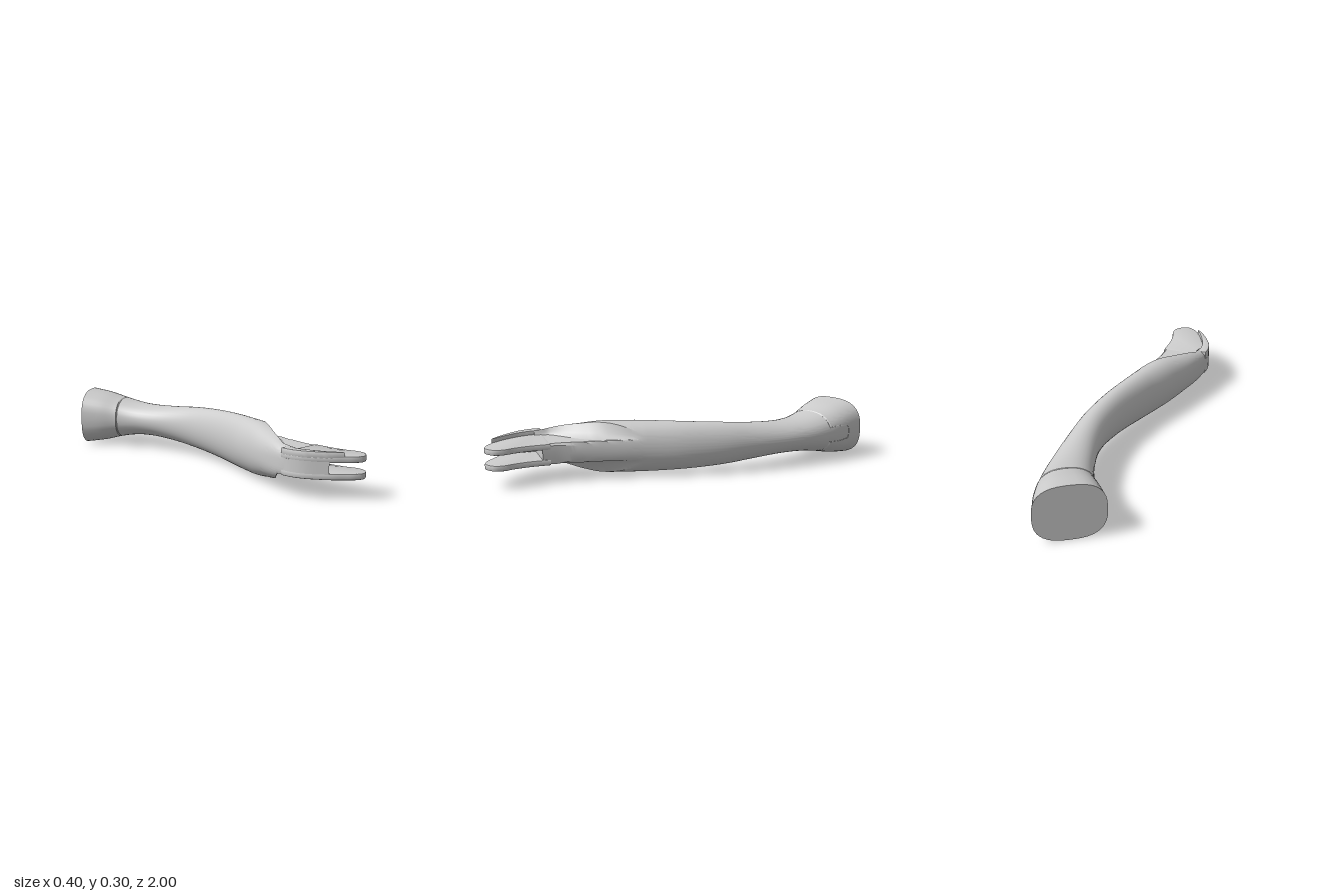
import * as THREE from 'three';
import { toCreasedNormals } from 'three/addons/utils/BufferGeometryUtils.js';

const MID = 0.15; // height of the centre line
const FLAT = 0.0535; // half thickness of the flattened fork end

// Stations: left x, left z, right x, right z, half height, roundness exponent
const STATIONS = [
  [-0.195, -0.815, 0.100, -1.000, 0.148, 2.7],
  [-0.135, -0.735, 0.138, -0.895, 0.132, 2.5],
  [-0.075, -0.660, 0.165, -0.795, 0.108, 2.3],
  [-0.030, -0.570, 0.187, -0.660, 0.089, 2.1],
  [0.000, -0.480, 0.197, -0.530, 0.086, 2],
  [0.030, -0.350, 0.200, -0.370, 0.095, 2],
  [0.040, -0.200, 0.195, -0.200, 0.110, 2],
  [0.010, 0.000, 0.165, 0.000, 0.124, 2],
  [-0.055, 0.200, 0.118, 0.200, 0.133, 2],
  [-0.095, 0.300, 0.097, 0.300, 0.134, 2],
  [-0.130, 0.400, 0.076, 0.400, 0.132, 2.1],
  [-0.163, 0.500, 0.058, 0.500, 0.119, 2.3],
  [-0.190, 0.600, 0.045, 0.600, 0.104, 2.8],
  [-0.203, 0.670, 0.041, 0.670, 0.086, 3.5],
  [-0.204, 0.720, 0.040, 0.720, 0.079, 4],
];
const curve = (a, b, c) => new THREE.CatmullRomCurve3(
  STATIONS.map((s) => new THREE.Vector3(s[a], s[b], s[c])));
const leftCurve = curve(0, 1, 4), rightCurve = curve(2, 3, 5);
const LAST = STATIONS.length - 1, SEAM = 2;

// Edge of the scooped faces: z, x on top, x underneath
const SCOOP = [
  [0.22, 0.100, 0.100], [0.3, 0.055, 0.055], [0.4, -0.005, -0.005],
  [0.5, -0.070, -0.075], [0.6, -0.130, -0.150], [0.65, -0.155, -0.196], [0.75, -0.160, -0.200],
];
function scoopEdge(z, col) {
  for (let i = 1; i < SCOOP.length; i++) {
    const a = SCOOP[i - 1], b = SCOOP[i];
    if (z <= b[0]) return THREE.MathUtils.mapLinear(z, a[0], b[0], a[col], b[col]);
  }
  return SCOOP[SCOOP.length - 1][col];
}

const station = (s) => ({ L: leftCurve.getPoint(s / LAST), R: rightCurve.getPoint(s / LAST) });
// Point on a section: u runs -1 (left) to 1 (right), y is the offset from the centre line
const place = ({ L, R }, u, y) => new THREE.Vector3(
  THREE.MathUtils.lerp(L.x, R.x, (u + 1) / 2), MID + y, THREE.MathUtils.lerp(L.y, R.y, (u + 1) / 2));
const height = ({ L, R }, u) => L.z * Math.pow(Math.max(0, 1 - Math.abs(u) ** R.z), 1 / R.z);

// Upper (side 1) or lower (side -1) half of a section, from left to right
function halfSection(st, side) {
  const { L, R } = st, n = R.z, half = (R.x - L.x) / 2, z = R.y;
  const scooped = z >= 0.22;
  const toAngle = (u) => Math.acos(Math.sign(u) * Math.abs(u) ** (n / 2));
  const toU = (a) => Math.sign(Math.cos(a)) * Math.abs(Math.cos(a)) ** (2 / n);
  const e = scooped
    ? THREE.MathUtils.clamp((scoopEdge(z, side > 0 ? 1 : 2) - L.x) / half - 1, -0.96, 0.9) : 0.83;
  const width = THREE.MathUtils.lerp(0.075, 0.012, THREE.MathUtils.smoothstep(z, 0.5, 0.68));
  const w = Math.min(width / half, (1 - e) * 0.7);
  const us = [];
  for (let i = 0; i < 14; i++) us.push(i === 0 ? -1 : toU(THREE.MathUtils.lerp(Math.PI, toAngle(e), i / 14)));
  for (let i = 0; i < 4; i++) us.push(e + w * i / 4);
  for (let i = 0; i <= 6; i++) us.push(i === 6 ? 1 : toU(toAngle(e + w) * (1 - i / 6)));
  const edgeH = Math.max(height(st, e), FLAT);
  return us.map((u) => {
    let y = height(st, u);
    if (scooped && u > e) {
      const k = Math.min(1, (u - e) / w);
      y = Math.min(y, FLAT + (edgeH - FLAT) * (1 - k) ** 1.5);
    }
    return place(st, u, side * y);
  });
}

// Curved grip lofted through the stations, with a shallow groove at the collar
function gripGeometry() {
  const rows = [];
  for (let i = 0; i <= LAST * 6; i++) if (i !== SEAM * 6) rows.push(i / 6);
  rows.push(SEAM - 0.04, SEAM, SEAM + 0.04);
  rows.sort((a, b) => a - b);
  const pos = [], idx = [];
  let cols = 0;
  rows.forEach((s) => {
    const st = station(s), centre = place(st, 0, 0);
    const ring = [...halfSection(st, 1), ...halfSection(st, -1).reverse().slice(1, -1)];
    cols = ring.length;
    ring.forEach((p) => {
      const onTab = p.x > centre.x && Math.abs(p.y - MID) < 0.04;
      if (s === SEAM && !onTab) p.lerp(centre, 0.03);
      pos.push(p.x, p.y, p.z);
    });
  });
  for (let i = 0; i < rows.length - 1; i++) {
    for (let j = 0; j < cols; j++) {
      const a = i * cols + j, b = i * cols + (j + 1) % cols;
      idx.push(a, a + cols, b, b, a + cols, b + cols);
    }
  }
  // End caps
  [0, rows.length - 1].forEach((row, front) => {
    const c = place(station(rows[row]), 0, 0), k = pos.length / 3;
    pos.push(c.x, c.y, c.z);
    for (let j = 0; j < cols; j++) {
      const a = row * cols + j, b = row * cols + (j + 1) % cols;
      idx.push(k, front ? b : a, front ? a : b);
    }
  });
  const g = new THREE.BufferGeometry();
  g.setAttribute('position', new THREE.Float32BufferAttribute(pos, 3));
  g.setIndex(idx);
  return toCreasedNormals(g, 0.45);
}

// Slab with an x/z outline between two heights
function slab(points, y0, y1, bevel) {
  const shape = new THREE.Shape(points.map(([x, z]) => new THREE.Vector2(x, -z)));
  const g = new THREE.ExtrudeGeometry(shape, {
    depth: y1 - y0 - 2 * bevel, bevelEnabled: bevel > 0, bevelSize: bevel,
    bevelThickness: bevel, bevelOffset: -bevel, bevelSegments: 2,
  });
  g.rotateX(-Math.PI / 2).translate(0, y0 + bevel, 0);
  return toCreasedNormals(g, 0.6);
}
const smooth = (pts, n) => new THREE.SplineCurve(pts.map((p) => new THREE.Vector2(...p)))
  .getPoints(n).map((v) => [v.x, v.y]);

export function createModel() {
  const group = new THREE.Group();
  const material = new THREE.MeshStandardMaterial({ color: 0xcccccc });
  const add = (name, geometry) => {
    const mesh = new THREE.Mesh(geometry, material);
    mesh.name = name;
    group.add(mesh);
  };

  add('grip', gripGeometry());

  // Fork: two rounded plates with a slot that opens to the front and left
  const outer = [[-0.203, 0.68], [-0.203, 0.74], [-0.182, 0.81], [-0.125, 0.9], [-0.078, 0.95]];
  const plate = smooth([
    [0.041, 0.68], [0.04, 0.78], [0.05, 0.86], [0.064, 0.91], [0.06, 0.955], [0.035, 0.985],
    [0, 1], [-0.04, 0.985], ...outer.slice().reverse(),
  ], 48);
  add('upperForkPlate', slab(plate, 0.175, 0.205, 0.006));
  add('lowerForkPlate', slab(plate, 0.095, 0.125, 0.006));

  // Wall closing the slot on one side
  const wall = [...smooth(outer.slice(0, 4), 14), [-0.13, 0.87], [-0.13, 0.68]];
  add('slotWall', slab(wall, 0.12, 0.18, 0));

  // Raised rim along the edge of the upper plate
  const inner = [[-0.083, 0.928], [-0.105, 0.897], [-0.14, 0.82], [-0.158, 0.75], [-0.16, 0.68]];
  add('rim', slab([...smooth(outer, 18), ...smooth(inner, 18)], 0.19, 0.226, 0.005));

  // Seam line around the collar tab
  const seam = [[2, -0.04], [1.2, -0.04], [0.85, -0.03], [0.8, 0], [0.85, 0.03], [1.2, 0.04], [2, 0.04]]
    .map(([s, y]) => {
      const st = station(s), n = st.R.z;
      return place(st, (1 - (Math.abs(y) / st.L.z) ** n) ** (1 / n), y);
    });
  add('tabSeam', new THREE.TubeGeometry(new THREE.CatmullRomCurve3(seam), 40, 0.002, 5));
  return group;
}
